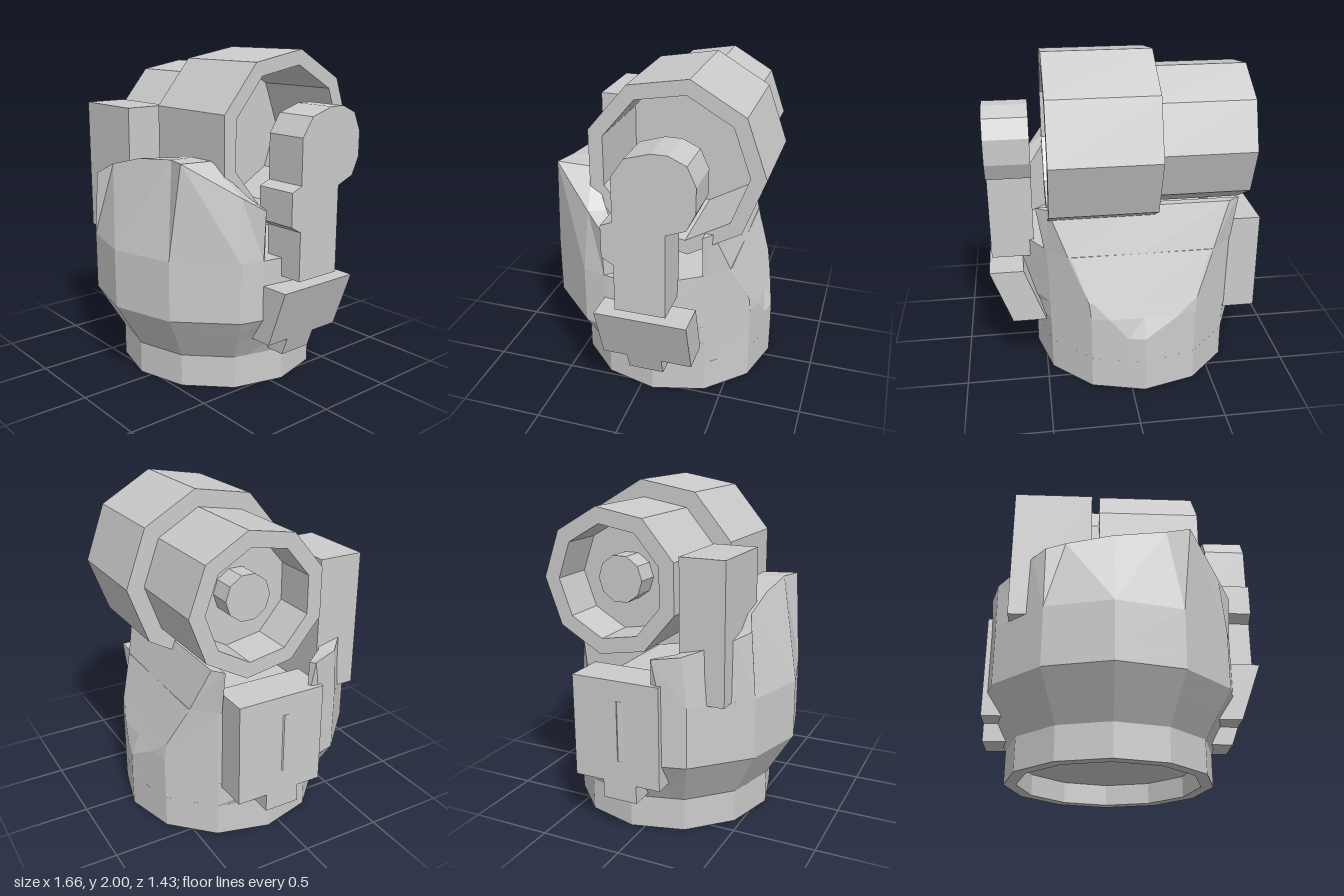
import * as THREE from 'three';

const CX = -0.075, CZ = -0.08; // centre of the round base

export function createModel() {
  const group = new THREE.Group();
  const mat = new THREE.MeshStandardMaterial({ color: 0xcccccc, flatShading: true });

  const add = (name, geo) => {
    const m = new THREE.Mesh(geo, mat);
    m.name = name;
    group.add(m);
    return m;
  };

  // Closed solid through cross-sections with equal point counts
  function loft(sections) {
    const pos = [];
    const tri = (...pts) => pts.forEach(p => pos.push(...p));
    const n = sections[0].length;
    for (let s = 0; s < sections.length - 1; s++) {
      const a = sections[s], b = sections[s + 1];
      for (let i = 0; i < n; i++) {
        const j = (i + 1) % n;
        tri(a[i], a[j], b[j]);
        tri(a[i], b[j], b[i]);
      }
    }
    const first = sections[0], last = sections[sections.length - 1];
    for (let i = 1; i < n - 1; i++) {
      tri(first[0], first[i + 1], first[i]);
      tri(last[0], last[i], last[i + 1]);
    }
    const g = new THREE.BufferGeometry();
    g.setAttribute('position', new THREE.Float32BufferAttribute(pos, 3));
    g.computeVertexNormals();
    return g;
  }

  // Full ring from its +x half, listed front to back
  function ring(y, half) {
    const mirrored = half.slice(1, -1).reverse().map(([x, z]) => [-x, z]);
    return [...half, ...mirrored].map(([x, z]) => [CX + x, y, CZ + z]);
  }

  // Side-view outline (u = -z, y) extruded along x from x0 to x1
  function sidePlate(outline, x0, x1, lean = 0) {
    const shape = new THREE.Shape(outline.map(p => new THREE.Vector2(...p)));
    const g = new THREE.ExtrudeGeometry(shape, { depth: x1 - x0, bevelEnabled: false });
    g.rotateY(Math.PI / 2);
    g.translate(x0, 0, 0);
    const p = g.attributes.position;
    for (let i = 0; i < p.count; i++) p.setX(i, p.getX(i) + lean * (p.getY(i) - 0.24));
    g.computeVertexNormals();
    return g;
  }

  // Turned part on the drum axis, profile as (radius, x)
  function turned(name, profile, sides) {
    const pts = profile.map(p => new THREE.Vector2(...p));
    const m = add(name, new THREE.LatheGeometry(pts, sides, Math.PI));
    m.rotation.z = -Math.PI / 2;
    m.position.set(0, 1.48, -0.18);
  }

  // Hollow twelve-sided foot
  const foot = [[0, 0.13], [0.55, 0.13], [0.55, 0], [0.625, 0], [0.625, 0.2], [0, 0.2]];
  add('base', new THREE.LatheGeometry(foot.map(p => new THREE.Vector2(...p)), 12))
    .position.set(CX, 0, CZ);

  // Body: flared front half, straight back half cut by a sloping plane
  const front = [[0, 0.795], [0.3975, 0.688], [0.688, 0.397], [0.725, 0.26], [0.76, 0]];
  add('body', loft([
    ring(0.2, [[0, 0.625], [0.3125, 0.541], [0.541, 0.3125], [0.563, 0.23], [0.625, 0],
      [0.541, -0.3125], [0.3125, -0.541], [0.1, -0.598], [0, -0.625]]),
    ring(0.36, [[0, 0.722], [0.361, 0.625], [0.625, 0.361], [0.65, 0.25], [0.7, 0],
      [0.543, -0.3125], [0.3125, -0.541], [0.1, -0.598], [0, -0.622]]),
    ring(0.48, [...front, [0.545, -0.3125], [0.314, -0.541], [0.205, -0.57], [0, -0.57]]),
    ring(0.58, [...front, [0.547, -0.3125], [0.325, -0.531], [0.305, -0.531], [0, -0.531]]),
    ring(0.84, [...front, [0.555, -0.31], [0.435, -0.43], [0.42, -0.435], [0, -0.435]]),
  ]));

  // Raised back wall, continuing the slope
  add('backWall', loft([
    ring(0.84, [[0, -0.295], [0.57, -0.295], [0.555, -0.31], [0.435, -0.43], [0, -0.435]]),
    ring(1.11, [[0, -0.295], [0.61, -0.295], [0.595, -0.305], [0.54, -0.345], [0, -0.345]]),
  ]));

  // Faceted front shield: lower x,z / outer top x,y,z / inner top x,z
  const shield = [
    [-0.80, 0.18, -0.82, 1.11, 0.13, -0.78, 0.11],
    [-0.763, 0.317, -0.77, 1.13, 0.29, -0.70, 0.23],
    [-0.555, 0.525, -0.555, 1.20, 0.515, -0.50, 0.40],
    [-0.4725, 0.608, -0.475, 1.23, 0.58, -0.42, 0.45],
    [-0.4725, 0.608, -0.36, 1.30, 0.53, -0.30, 0.40],
    [-0.075, 0.715, -0.08, 1.37, 0.52, -0.05, 0.35],
    [-0.075, 0.715, 0.24, 1.405, 0.52, 0.20, 0.335],
    [0.3225, 0.608, 0.38, 1.405, 0.56, 0.37, 0.335],
    [0.613, 0.317, 0.585, 1.21, 0.29, 0.52, 0.20],
    [0.65, 0.18, 0.665, 1.135, 0.18, 0.60, 0.125],
  ];
  add('frontShield', loft(shield.map(([lx, lz, ux, uy, uz, ix, iz]) =>
    [[ux, uy, uz], [lx, 0.84, lz], [ix, 0.84, iz], [ix, uy - 0.01, iz]])));

  // Two-step nine-sided drum, bored at both ends
  turned('smallDrum', [[0, -0.45], [0.33, -0.45], [0.33, -0.71], [0.425, -0.71],
    [0.425, -0.15], [0, -0.15]], 9);
  turned('largeDrum', [[0, -0.16], [0.531, -0.16], [0.531, 0.466], [0.44, 0.466],
    [0.44, -0.1], [0, -0.1]], 9);
  turned('axle', [[0, -0.59], [0.14, -0.59], [0.14, -0.4], [0, -0.4]], 10);

  // Rounded hub and arm beside the drum
  add('hubArm', sidePlate([
    [-0.055, 0.73], [0.245, 0.73], [0.245, 1.25], [0.36, 1.295], [0.41, 1.4],
    [0.41, 1.55], [0.36, 1.66], [0.26, 1.705], [0.165, 1.705], [0.02, 1.66],
    [-0.055, 1.55], [-0.055, 1.285], [-0.125, 1.255], [-0.125, 1.06], [-0.055, 1.02],
  ], 0.55, 0.81));

  // Side plates with a tab at the bottom
  const tabbed = top => [[-0.18, top], [-0.18, 0.34], [-0.03, 0.34], [-0.03, 0.23],
    [0.185, 0.23], [0.185, 0.34], [0.37, 0.34], [0.37, top]];
  add('leaningSidePlate', sidePlate(tabbed(0.69), 0.46, 0.665, 0.36));
  add('uprightSidePlate', sidePlate(tabbed(0.96), -0.83, -0.58));

  // Tall box in front of the small drum
  add('frontBox', new THREE.BoxGeometry(0.47, 0.815, 0.27)).position.set(-0.445, 1.2475, 0.37);

  return group;
}
